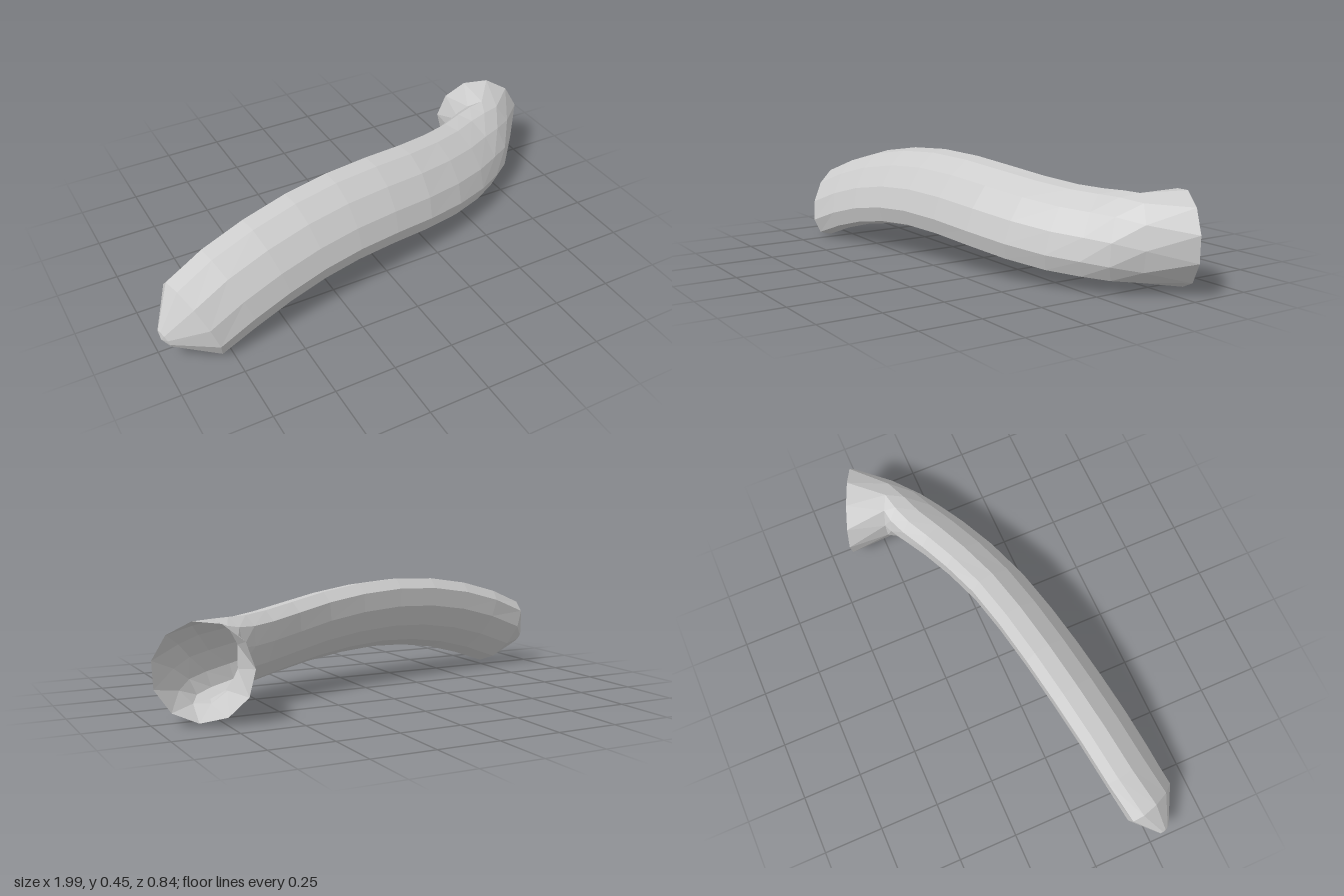
import * as THREE from 'three';

const SIDES = 11;
const PHASE = THREE.MathUtils.degToRad(11);
const material = new THREE.MeshStandardMaterial({ color: 0xcccccc, flatShading: true, side: THREE.DoubleSide });

// Skin a list of oval rings: centre, tangent, long and short radius, backward lean in degrees
function loft(name, rings) {
  const positions = [], index = [];
  for (const { centre, tangent, long, short, lean } of rings) {
    const side = new THREE.Vector3().crossVectors(tangent, new THREE.Vector3(0, 1, 0)).normalize();
    const up = new THREE.Vector3().crossVectors(side, tangent).normalize();
    const tilt = THREE.MathUtils.degToRad(lean);
    for (let j = 0; j < SIDES; j++) {
      const a = PHASE + (j / SIDES) * Math.PI * 2;
      const u = Math.cos(a) * long, v = Math.sin(a) * short;
      const p = centre.clone()
        .addScaledVector(up, u * Math.cos(tilt) + v * Math.sin(tilt))
        .addScaledVector(side, v * Math.cos(tilt) - u * Math.sin(tilt));
      positions.push(p.x, p.y, p.z);
    }
  }
  for (let i = 0; i < rings.length - 1; i++) {
    for (let j = 0; j < SIDES; j++) {
      const k = (j + 1) % SIDES;
      const a = i * SIDES + j, b = i * SIDES + k, c = a + SIDES, d = b + SIDES;
      if (rings[i].long > 0) index.push(a, b, c);
      index.push(b, d, c);
    }
  }
  const geometry = new THREE.BufferGeometry();
  geometry.setAttribute('position', new THREE.Float32BufferAttribute(positions, 3));
  geometry.setIndex(index);
  geometry.computeVertexNormals();
  const mesh = new THREE.Mesh(geometry, material);
  mesh.name = name;
  return mesh;
}

export function createModel() {
  const group = new THREE.Group();
  group.name = 'bentTube';

  // Centre line stations: x, y, z, long radius, short radius, lean
  const stations = [
    [-0.86, 0.155, 0.292, 0.178, 0.1, 37],
    [-0.70, 0.215, 0.262, 0.186, 0.097, 37],
    [-0.53, 0.261, 0.233, 0.187, 0.097, 37],
    [-0.35, 0.29, 0.201, 0.187, 0.097, 37],
    [-0.17, 0.300, 0.17, 0.187, 0.097, 37],
    [0.02, 0.291, 0.136, 0.187, 0.097, 37],
    [0.20, 0.27, 0.098, 0.187, 0.097, 37],
    [0.37, 0.244, 0.044, 0.187, 0.098, 37],
    [0.52, 0.224, -0.02, 0.185, 0.099, 36],
    [0.63, 0.216, -0.08, 0.182, 0.101, 34],
    [0.71, 0.213, -0.13, 0.177, 0.107, 28],
    [0.765, 0.21, -0.185, 0.168, 0.12, 15],
    [0.83, 0.205, -0.345, 0.188, 0.188, 0],
  ];
  const points = stations.map(([x, y, z]) => new THREE.Vector3(x, y, z));
  const rings = stations.map(([, , , long, short, lean], i) => {
    const before = points[Math.max(i - 1, 0)], after = points[Math.min(i + 1, points.length - 1)];
    return { centre: points[i], tangent: after.clone().sub(before).normalize(), long, short, lean };
  });
  // Lower end faces slightly down; the flared open mouth stands upright
  rings[0].tangent.set(0.92, 0.28, -0.25).normalize();
  rings[rings.length - 1].tangent.set(0.4, 0, -0.91).normalize();

  // Blunt closed tip
  const tipAxis = rings[0].tangent;
  const tip = [
    { centre: new THREE.Vector3(-0.995, 0.118, 0.305), tangent: tipAxis, long: 0, short: 0, lean: 37 },
    { centre: new THREE.Vector3(-0.983, 0.118, 0.304), tangent: tipAxis, long: 0.04, short: 0.022, lean: 37 },
    rings[0],
  ];
  group.add(loft('tip', tip), loft('tube', rings));
  return group;
}
